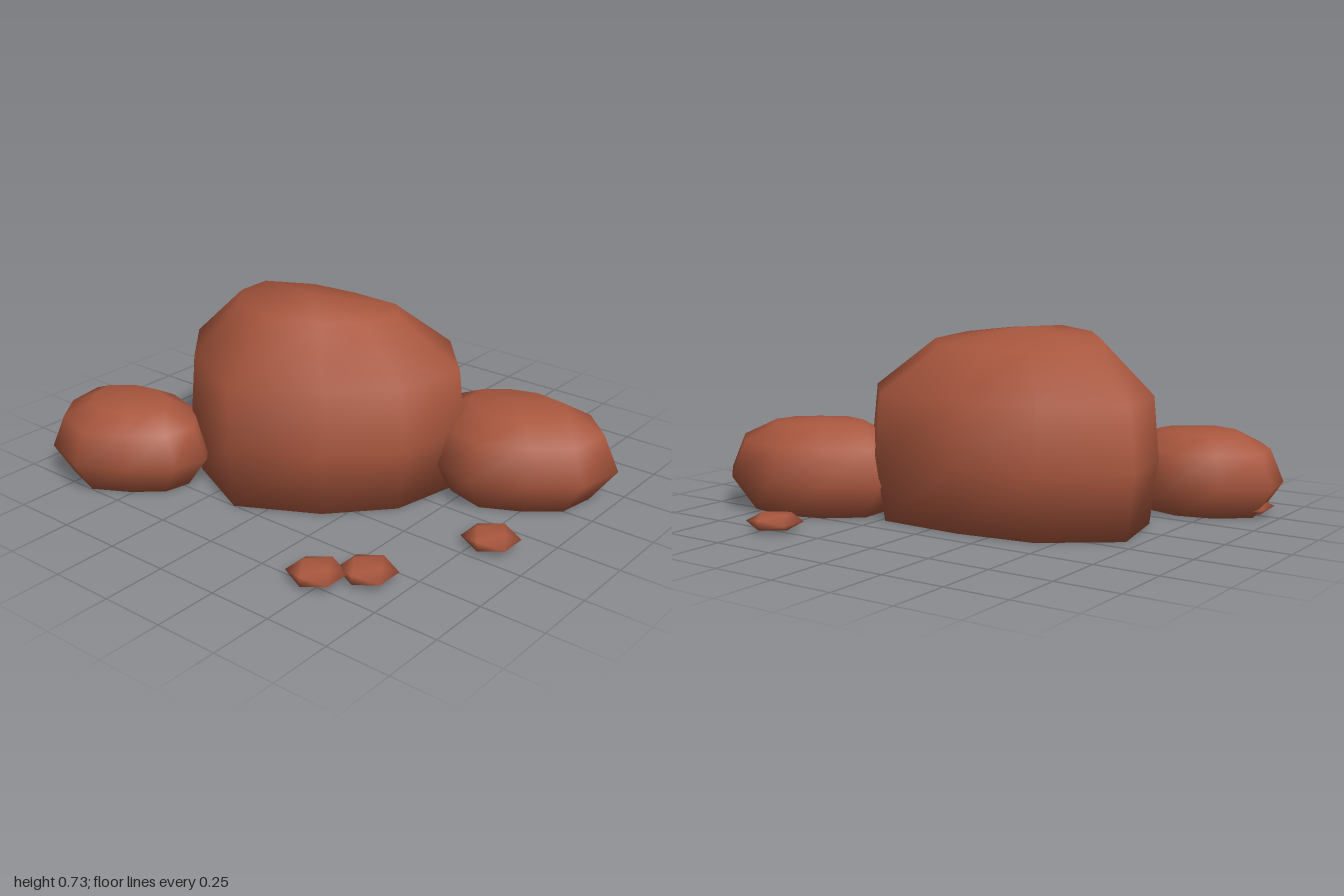
import * as THREE from 'three';
import { mergeVertices } from 'three/addons/utils/BufferGeometryUtils.js';

const clay = new THREE.MeshStandardMaterial({ color: 0xa9573e });
clay.name = 'redClay';

// Boulder: one plan outline scaled about (cx, cz) at several heights.
// levels = [scale, height]; tilt raises the crown toward the front.
function boulder(name, outline, cx, cz, levels, top, tilt = 0) {
  const n = outline.length, pos = [], index = [];
  levels.forEach(([s, y], r) => {
    const lean = r === levels.length - 1 ? tilt : 0;
    for (const [x, z] of outline) {
      const dz = (z - cz) * s;
      pos.push(cx + (x - cx) * s, y + lean * dz, cz + dz);
    }
  });
  const bottomId = pos.length / 3, topId = bottomId + 1;
  pos.push(cx, 0, cz, cx, top, cz);
  const last = (levels.length - 1) * n;
  for (let i = 0; i < n; i++) {
    const j = (i + 1) % n;
    for (let r = 0; r < last; r += n) {
      index.push(r + j, r + i, r + n + i, r + j, r + n + i, r + n + j);
    }
    index.push(i, j, bottomId, last + j, last + i, topId);
  }
  const geo = new THREE.BufferGeometry();
  geo.setAttribute('position', new THREE.Float32BufferAttribute(pos, 3));
  geo.setIndex(index);
  geo.computeVertexNormals();
  const mesh = new THREE.Mesh(geo, clay);
  mesh.name = name;
  return mesh;
}

// Smooth-shaded flattened icosahedron shared by all pebbles
function pebbleGeometry() {
  let geo = new THREE.IcosahedronGeometry(1, 0);
  geo.deleteAttribute('normal');
  geo.deleteAttribute('uv');
  geo = mergeVertices(geo);
  geo.scale(0.111, 0.034, 0.105);
  geo.computeVertexNormals();
  return geo;
}

export function createModel() {
  const group = new THREE.Group();
  group.name = 'rockCluster';

  // Large central boulder
  group.add(boulder('mainBoulder', [
    [-0.73, -0.18], [-0.45, -0.39], [-0.12, -0.435], [0.25, -0.42], [0.47, -0.17],
    [0.41, 0.13], [0.2, 0.36], [-0.12, 0.53], [-0.46, 0.37], [-0.66, 0.14],
  ], -0.12, 0.04, [[0.55, 0], [0.94, 0], [1, 0.25], [0.96, 0.49], [0.57, 0.69]], 0.73, 0.1));

  // Smaller boulder at the front right
  group.add(boulder('frontBoulder', [
    [-1, 0.42], [-0.84, 0.29], [-0.65, 0.245], [-0.42, 0.31], [-0.3, 0.46],
    [-0.33, 0.6], [-0.47, 0.72], [-0.65, 0.82], [-0.86, 0.75], [-0.97, 0.6],
  ], -0.64, 0.53, [[0.45, 0], [0.75, 0], [1, 0.125], [0.84, 0.25], [0.48, 0.308]], 0.318));

  // Smaller boulder at the back left
  group.add(boulder('backBoulder', [
    [0.23, -0.42], [0.4, -0.56], [0.61, -0.625], [0.84, -0.59], [1, -0.43],
    [0.965, -0.23], [0.81, -0.1], [0.61, 0], [0.4, -0.06], [0.24, -0.21],
  ], 0.61, -0.31, [[0.45, 0], [0.75, 0], [1, 0.135], [0.85, 0.275], [0.5, 0.342]], 0.358));

  // Scattered pebbles
  const geo = pebbleGeometry();
  [[0.47, -0.74], [0.805, 0.14], [0.6, 0.595], [0.47, 0.715], [-0.86, 0.5]].forEach(([x, z], i) => {
    const pebble = new THREE.Mesh(geo, clay);
    pebble.name = 'pebble' + (i + 1);
    pebble.position.set(x, 0.034, z);
    group.add(pebble);
  });

  return group;
}
